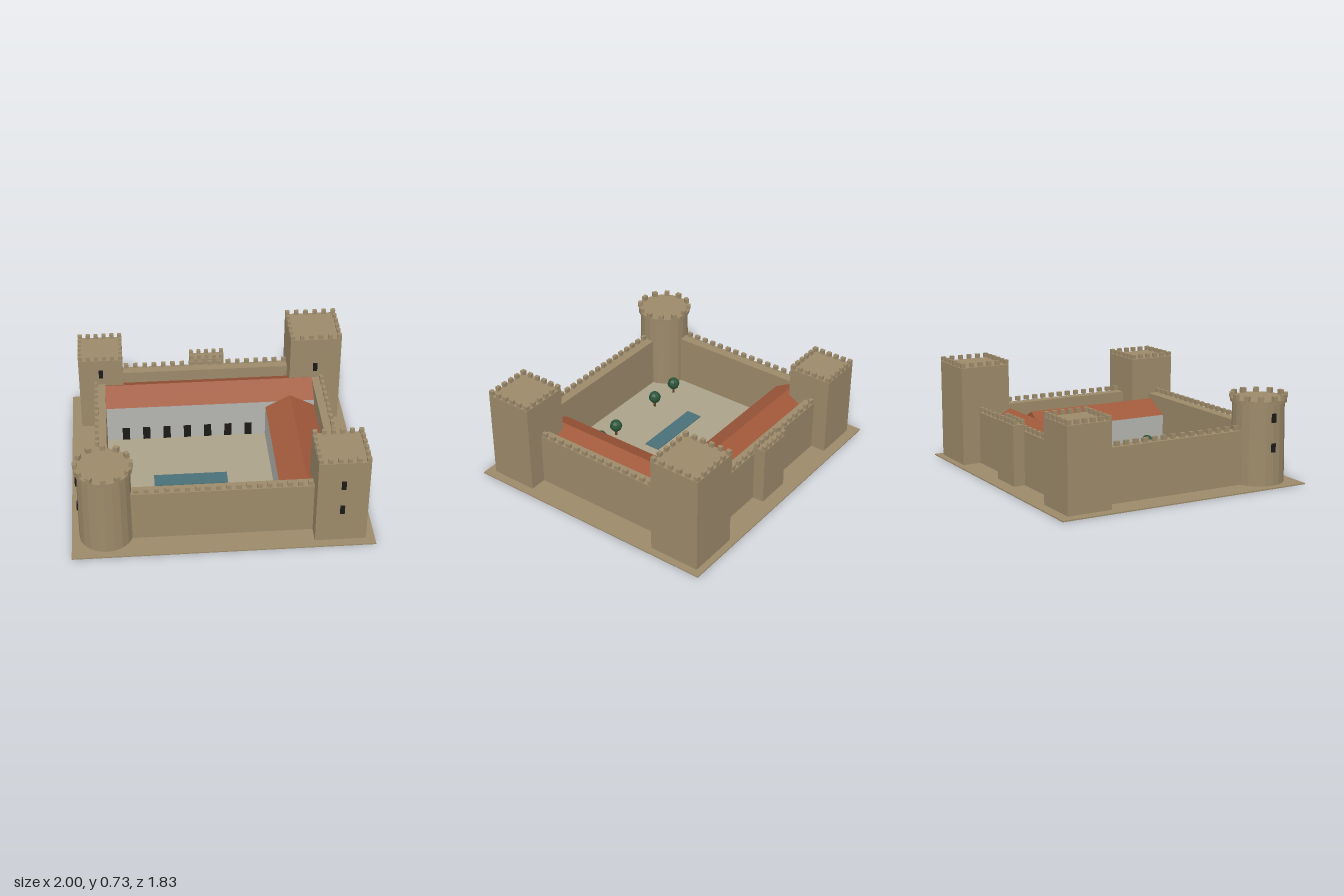
import * as THREE from 'three';

const mat = (color) => new THREE.MeshStandardMaterial({ color, flatShading: true });

export function createModel() {
  const root = new THREE.Group();
  const stone = mat(0x9c8a6a), roofRed = mat(0xa0583a), plaster = mat(0xb4b4b0);
  const dark = mat(0x1c1a18), paving = mat(0xaaa288), water = mat(0x4a7078);
  const leaf = mat(0x2a5238), bark = mat(0x5a4028);

  const add = (parent, name, geo, material, x = 0, y = 0, z = 0) => {
    const mesh = new THREE.Mesh(geo, material);
    mesh.name = name;
    mesh.position.set(x, y, z);
    parent.add(mesh);
    return mesh;
  };
  // Box given by its limits on each axis
  const block = (parent, name, material, x0, x1, y0, y1, z0, z1) =>
    add(parent, name, new THREE.BoxGeometry(x1 - x0, y1 - y0, z1 - z0), material,
      (x0 + x1) / 2, (y0 + y1) / 2, (z0 + z1) / 2);
  const group = (name) => {
    const g = new THREE.Group();
    g.name = name;
    root.add(g);
    return g;
  };

  // Row of merlons between two points
  const merlons = (parent, x0, z0, x1, z1, y, count, width = 0.033) => {
    const alongX = Math.abs(x1 - x0) > Math.abs(z1 - z0);
    const geo = new THREE.BoxGeometry(alongX ? width : 0.024, 0.03, alongX ? 0.024 : width);
    for (let i = 0; i < count; i++) {
      const t = i / (count - 1);
      add(parent, 'merlon', geo, stone, x0 + (x1 - x0) * t, y + 0.015, z0 + (z1 - z0) * t);
    }
  };
  const merlonRing = (parent, x0, x1, z0, z1, y, nx, nz, width = 0.03) => {
    const e = 0.012, c = width / 2;
    for (const z of [z0 + e, z1 - e]) merlons(parent, x0 + c, z, x1 - c, z, y, nx, width);
    for (const x of [x0 + e, x1 - e]) merlons(parent, x, z0 + c, x, z1 - c, y, nz, width);
  };

  // Ground and courtyard
  block(root, 'ground', stone, -1, 1, 0, 0.008, -0.915, 0.91);
  block(root, 'courtyard', paving, -0.745, 0.395, 0.004, 0.014, -0.345, 0.655);
  block(root, 'pool', water, -0.43, 0.08, 0.008, 0.02, 0.095, 0.21);

  // Curtain walls with merlons along the outer edge
  const H = 0.375, M = 0.381;
  const walls = group('curtainWalls');
  block(walls, 'frontWall', stone, -0.77, 0.77, 0, H, 0.655, 0.735);
  block(walls, 'backWall', stone, -0.77, 0.77, 0, H, -0.74, -0.665);
  block(walls, 'rightWall', stone, 0.745, 0.82, 0, H, -0.7, 0.7);
  block(walls, 'leftWall', stone, -0.82, -0.745, 0, H, -0.7, 0.7);
  merlons(walls, -0.565, 0.721, 0.575, 0.721, M, 18);
  merlons(walls, -0.59, -0.728, 0.565, -0.728, M, 18);
  merlons(walls, 0.81, -0.47, 0.81, 0.485, M, 15);
  merlons(walls, -0.81, -0.5, -0.81, 0.47, M, 15);

  // Square corner towers: x0, x1, z0, z1, height, window heights
  const towers = [
    ['frontRightTower', 0.6, 0.94, 0.515, 0.85, 0.64, [0.265, 0.465]],
    ['backRightTower', 0.585, 0.95, -0.87, -0.51, 0.695, [0.265, 0.465]],
    ['backLeftTower', -0.93, -0.615, -0.845, -0.535, 0.575, [0.265, 0.465]],
  ];
  for (const [name, x0, x1, z0, z1, h, windows] of towers) {
    const t = group(name);
    block(t, 'towerBody', stone, x0, x1, 0, h, z0, z1);
    merlonRing(t, x0, x1, z0, z1, h + 0.003, 6, 6);
    const cx = (x0 + x1) / 2;
    for (const y of windows)
      block(t, 'window', dark, cx - 0.015, cx + 0.015, y - 0.03, y + 0.03, z1 - 0.005, z1 + 0.012);
  }

  // Projecting turret in the middle of the back wall
  const turret = group('backTurret');
  block(turret, 'turretBody', stone, -0.125, 0.125, 0, 0.42, -0.82, -0.735);
  merlonRing(turret, -0.125, 0.125, -0.82, -0.735, 0.424, 5, 2, 0.028);

  // Round corner tower
  const round = group('roundTower');
  round.position.set(-0.77, 0, 0.68);
  add(round, 'towerBody', new THREE.CylinderGeometry(0.174, 0.18, 0.56, 20), stone, 0, 0.28, 0);
  add(round, 'towerCap', new THREE.CylinderGeometry(0.19, 0.19, 0.024, 24), stone, 0, 0.566, 0);
  const merlonGeo = new THREE.BoxGeometry(0.035, 0.034, 0.028);
  for (let i = 0; i < 12; i++) {
    const a = (i / 12) * Math.PI * 2;
    add(round, 'merlon', merlonGeo, stone, Math.sin(a) * 0.18, 0.595, Math.cos(a) * 0.18).rotation.y = a;
  }
  for (const y of [0.265, 0.465])
    block(round, 'window', dark, -0.184, -0.168, y - 0.03, y + 0.03, -0.015, 0.015);

  // Gabled building: plaster walls and a triangular prism roof along its length
  const house = (name, width, length, eave, ridge) => {
    const g = group(name);
    block(g, 'houseWalls', plaster, -width / 2, width / 2, 0.004, eave, -length / 2, length / 2);
    const gable = new THREE.Shape([
      new THREE.Vector2(-width / 2, eave),
      new THREE.Vector2(width / 2, eave),
      new THREE.Vector2(0, ridge),
    ]);
    add(g, 'roof', new THREE.ExtrudeGeometry(gable, { depth: length, bevelEnabled: false }),
      roofRed, 0, 0, -length / 2);
    return g;
  };
  const hall = house('backHall', 0.32, 1.49, 0.29, 0.379);
  hall.position.set(0, 0, -0.505);
  hall.rotation.y = Math.PI / 2;
  const wing = house('rightWing', 0.35, 1.0, 0.245, 0.34);
  wing.position.set(0.57, 0, 0.155);

  // Doorways along the hall
  const doors = group('hallDoorways');
  for (let i = 0; i < 7; i++) {
    const x = -0.61 + i * 0.147;
    block(doors, 'doorway', dark, x - 0.026, x + 0.026, 0.014, 0.115, -0.35, -0.34);
  }

  // Courtyard trees
  const crown = new THREE.SphereGeometry(0.045, 8, 6);
  const trunk = new THREE.CylinderGeometry(0.008, 0.01, 0.06, 6);
  for (const x of [-0.575, -0.345, 0.11, 0.28]) {
    const tree = group('tree');
    tree.position.set(x, 0.012, 0.45);
    add(tree, 'trunk', trunk, bark, 0, 0.03, 0);
    add(tree, 'crown', crown, leaf, 0, 0.08, 0);
  }
  return root;
}
